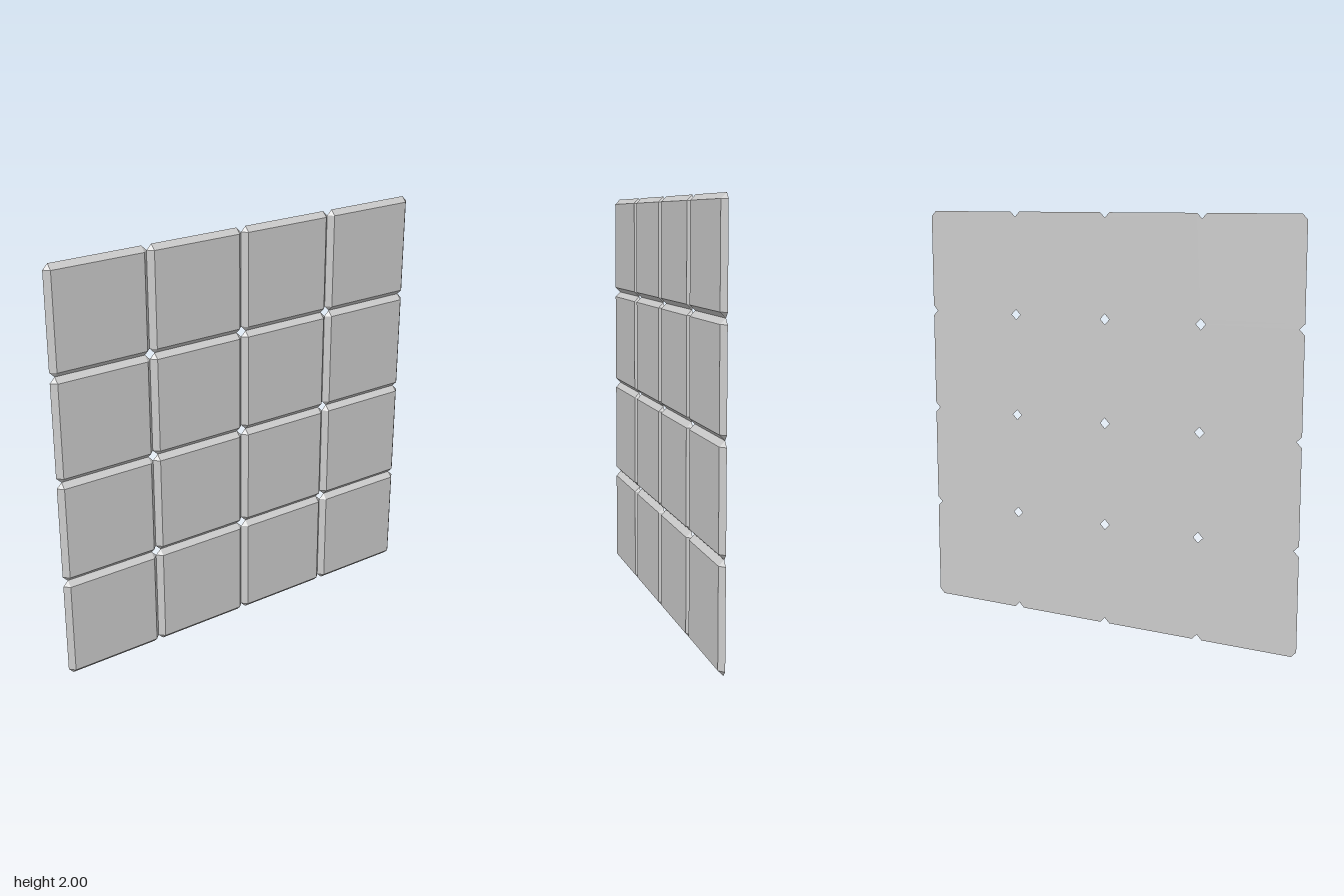
import * as THREE from 'three';
import { ConvexGeometry } from 'three/addons/geometries/ConvexGeometry.js';

const COUNT = 4;            // tiles per side
const PITCH = 2 / COUNT;    // tile size
const BEVEL = 0.025;        // bevel width and tile depth

// One tile: octagonal back outline, bevelled up to a smaller square front face
function tileGeometry() {
  const h = PITCH / 2, i = h - BEVEL, z = BEVEL / 2;
  const points = [];
  for (const sx of [-1, 1]) {
    for (const sy of [-1, 1]) {
      points.push(
        new THREE.Vector3(sx * h, sy * i, -z),
        new THREE.Vector3(sx * i, sy * h, -z),
        new THREE.Vector3(sx * i, sy * i, z),
      );
    }
  }
  return new ConvexGeometry(points);
}

export function createModel() {
  const panel = new THREE.Group();
  panel.name = 'tiledPanel';
  const material = new THREE.MeshStandardMaterial({ color: 0xcccccc, flatShading: true });
  const geometry = tileGeometry();

  // Square grid of tiles, edge to edge
  for (let row = 0; row < COUNT; row++) {
    for (let col = 0; col < COUNT; col++) {
      const tile = new THREE.Mesh(geometry, material);
      tile.name = `tileRow${row + 1}Column${col + 1}`;
      tile.position.set((col + 0.5) * PITCH - 1, (row + 0.5) * PITCH, 0);
      panel.add(tile);
    }
  }
  return panel;
}
